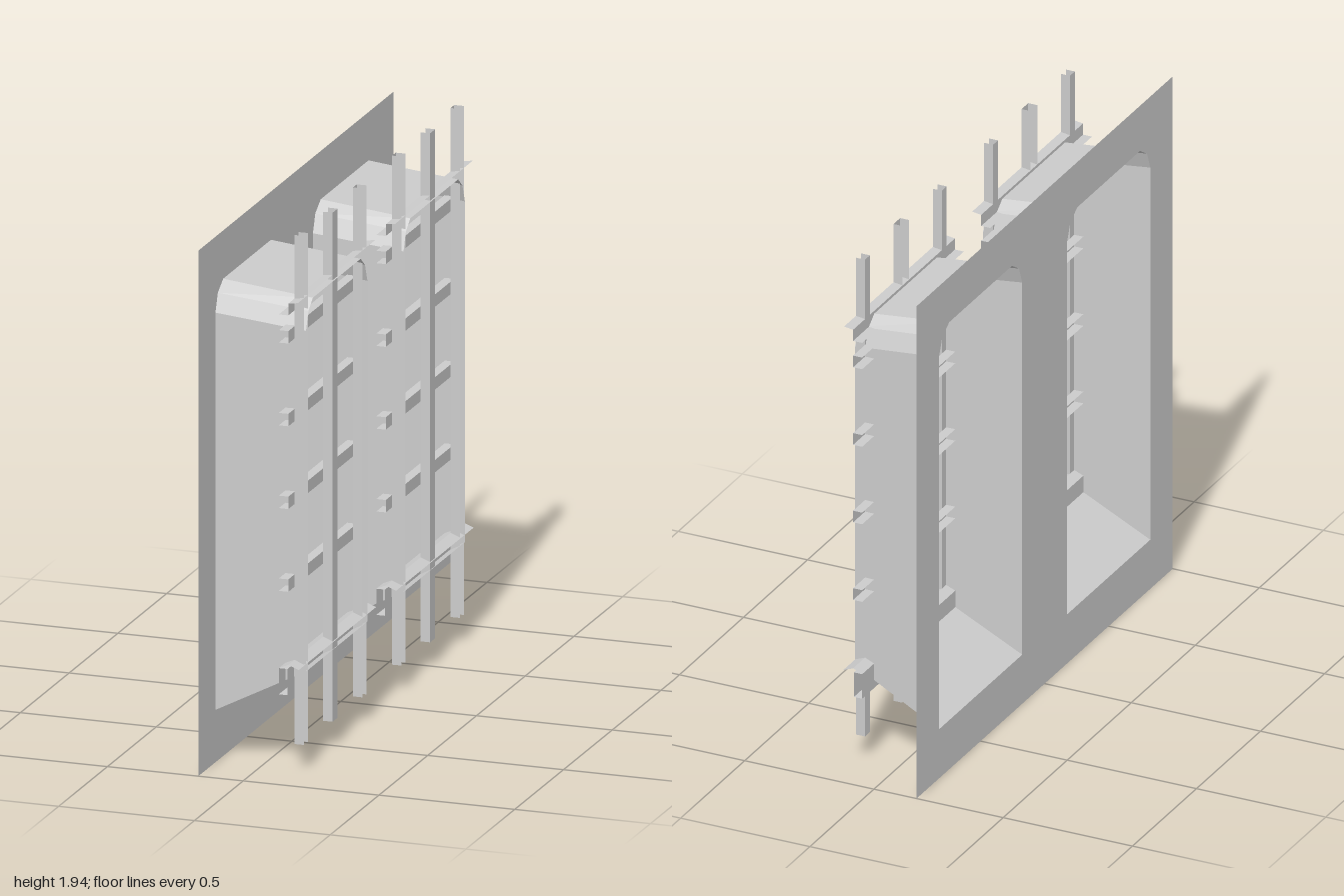
import * as THREE from 'three';

const material = new THREE.MeshStandardMaterial({
  color: 0xcccccc, flatShading: true, side: THREE.DoubleSide,
});

// Sheet of quads joining two matching outlines of [x, y, z] points.
function loft(name, a, b, closed = false) {
  const pos = [];
  const n = a.length;
  for (let i = 0; i < (closed ? n : n - 1); i++) {
    const j = (i + 1) % n;
    pos.push(...a[i], ...a[j], ...b[j], ...a[i], ...b[j], ...b[i]);
  }
  const g = new THREE.BufferGeometry();
  g.setAttribute('position', new THREE.Float32BufferAttribute(pos, 3));
  g.computeVertexNormals();
  const mesh = new THREE.Mesh(g, material);
  mesh.name = name;
  return mesh;
}

// Open-ended rail along z, profile points are [x, y].
function rail(name, profile, y = 0, closed = false) {
  const at = (z) => profile.map(([px, py]) => [px, py + y, z]);
  return loft(name, at(0.385), at(-0.41), closed);
}

// Open-ended post along y, profile points are [x, z].
function post(name, profile, z) {
  const at = (y) => profile.map(([px, pz]) => [px, y, pz + z]);
  return loft(name, at(0.095), at(1.94), false);
}

// Window outline [z, y]: square at the sill, chamfered in two steps at the head.
function opening(halfWidth, sill, head) {
  const half = [
    [halfWidth, sill], [halfWidth, head - 0.1],
    [halfWidth - 0.025, head - 0.035], [0.245, head],
  ];
  return [...half, ...half.map(([z, y]) => [-z, y]).reverse()];
}

const OUTER = opening(0.325, 0.19, 1.73);
const INNER = opening(0.315, 0.36, 1.695);

// Thin wall sheet with two window holes.
function makeWall() {
  const shape = new THREE.Shape([[-1, 0], [1, 0], [1, 1.905], [-1, 1.905]]
    .map(([u, v]) => new THREE.Vector2(u, v)));
  for (const c of [-0.5, 0.5]) {
    shape.holes.push(new THREE.Path(OUTER.map(([z, y]) => new THREE.Vector2(z + c, y))));
  }
  const g = new THREE.ShapeGeometry(shape);
  g.rotateY(Math.PI / 2);
  g.translate(-0.165, 0, 0);
  const wall = new THREE.Mesh(g, material);
  wall.name = 'wall';
  return wall;
}

function makeWindow() {
  const win = new THREE.Group();
  win.name = 'window';

  // Tapered reveal with a sloping sill
  win.add(loft('reveal',
    OUTER.map(([z, y]) => [-0.165, y, z]),
    INNER.map(([z, y]) => [0.165, y, z]), true));

  // Upright channels: wide one in the middle, narrow ones at the sides
  win.add(post('centrePost',
    [[0.125, -0.026], [0.16, -0.026], [0.16, 0.026], [0.125, 0.026]], 0.002));
  for (const z of [0.302, -0.298]) {
    win.add(post('sidePost',
      [[0.16, -0.019], [0.125, -0.019], [0.125, 0.019], [0.16, 0.019]], z));
  }

  // Evenly spaced cross bars
  for (let i = 0; i < 4; i++) {
    win.add(rail('crossBar',
      [[0.09, 0.0225], [0.125, 0.0225], [0.125, -0.0225], [0.09, -0.0225]],
      0.6875 + i * 0.3));
  }

  // Stepped head rail
  win.add(rail('headRail',
    [[0.16, 1.715], [0.125, 1.71], [0.125, 1.667], [0.09, 1.667]]));

  // Sill rail: hollow box with a drip edge on top
  win.add(rail('sillRail',
    [[0.09, 0.29], [0.122, 0.29], [0.122, 0.385], [0.09, 0.385]], 0, true));
  win.add(rail('dripEdge', [[0.09, 0.385], [0.125, 0.4], [0.163, 0.385]]));
  return win;
}

export function createModel() {
  const model = new THREE.Group();
  model.name = 'barredWindows';
  model.add(makeWall());
  for (const z of [0.5, -0.5]) {
    const win = makeWindow();
    win.position.z = z;
    model.add(win);
  }
  return model;
}
